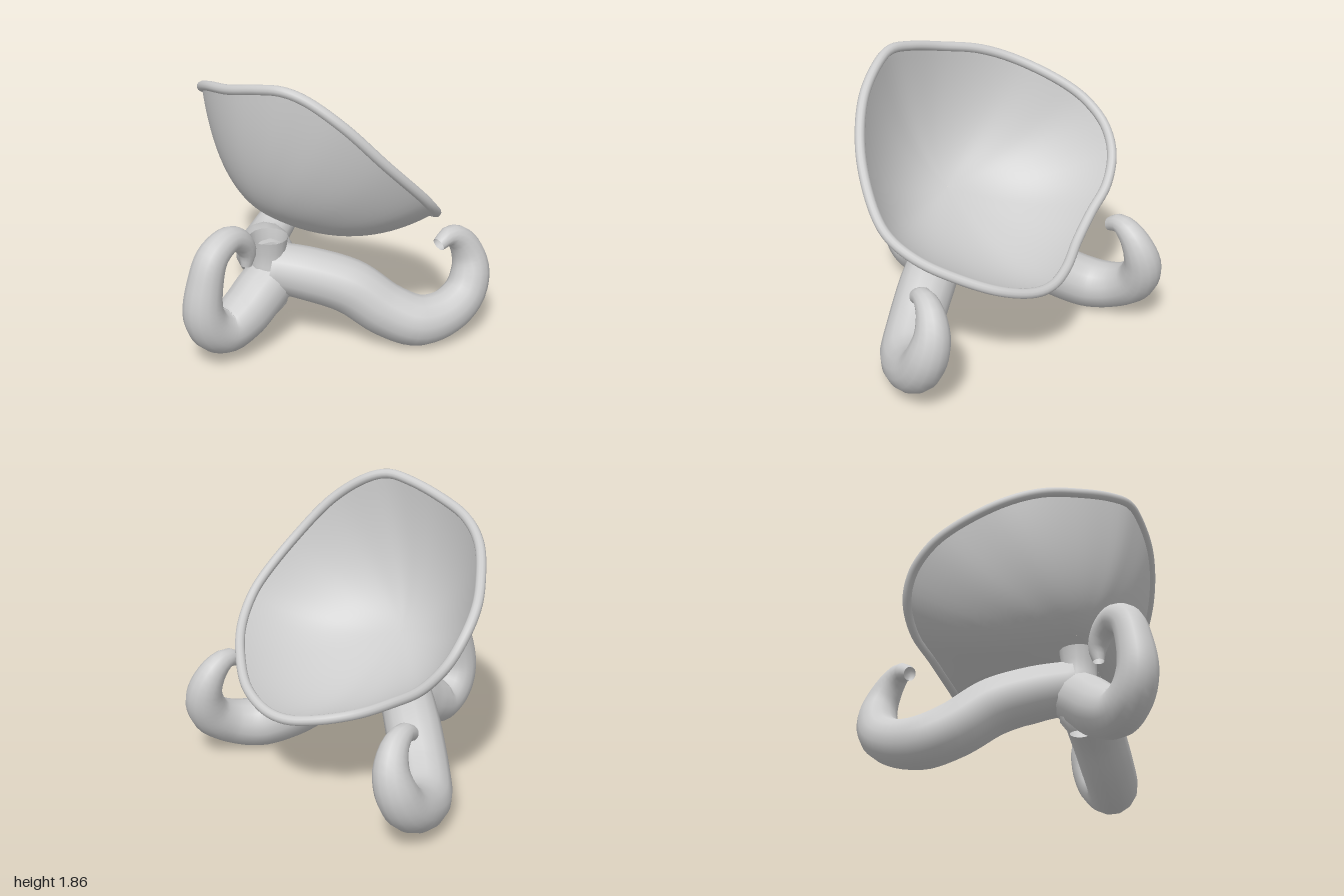
import * as THREE from 'three';

const grey = new THREE.MeshStandardMaterial({ color: 0xcccccc, side: THREE.DoubleSide });
grey.name = 'light grey';

const V = (p) => new THREE.Vector3(p[0], p[1], p[2]);

function part(name, geometry) {
  const mesh = new THREE.Mesh(geometry, grey);
  mesh.name = name;
  return mesh;
}

// Indexed grid of rows x cols points, wrapped around the columns
function wrappedGrid(points, rows, cols) {
  const index = [];
  for (let i = 0; i < rows - 1; i++) {
    for (let j = 0; j < cols; j++) {
      const a = i * cols + j, c = i * cols + (j + 1) % cols;
      index.push(a, c, a + cols, c, c + cols, a + cols);
    }
  }
  const g = new THREE.BufferGeometry().setFromPoints(points);
  g.setIndex(index);
  g.computeVertexNormals();
  return g;
}

// Open tube whose radius changes along the path; each point is [x, y, z, radius]
function taperedTube(path, steps = 48, sides = 14) {
  const curve = new THREE.CatmullRomCurve3(path.map(V), false, 'centripetal');
  const frames = curve.computeFrenetFrames(steps, false);
  const points = [];
  for (let i = 0; i <= steps; i++) {
    const t = curve.getUtoTmapping(i / steps) * (path.length - 1);
    const k = Math.min(Math.floor(t), path.length - 2);
    const r = THREE.MathUtils.lerp(path[k][3], path[k + 1][3], t - k);
    const c = curve.getPointAt(i / steps);
    for (let j = 0; j < sides; j++) {
      const a = (j / sides) * Math.PI * 2;
      points.push(c.clone()
        .addScaledVector(frames.normals[i], r * Math.cos(a))
        .addScaledVector(frames.binormals[i], r * Math.sin(a)));
    }
  }
  return wrappedGrid(points, steps + 1, sides);
}

// Wavy closed outline of the seat
const rimCurve = new THREE.CatmullRomCurve3([
  [-0.43, 1.755, -0.13], [-0.365, 1.7, -0.385], [-0.24, 1.615, -0.595],
  [-0.005, 1.48, -0.8], [0.135, 1.38, -0.885], [0.285, 1.25, -0.92],
  [0.4, 1.1, -0.89], [0.49, 0.94, -0.775], [0.55, 0.82, -0.6],
  [0.645, 0.715, -0.405], [0.79, 0.655, -0.195], [0.87, 0.63, -0.02],
  [0.89, 0.645, 0.14], [0.84, 0.71, 0.36], [0.69, 0.81, 0.585],
  [0.54, 0.905, 0.74], [0.39, 1.01, 0.83], [0.27, 1.12, 0.85],
  [0, 1.39, 0.775], [-0.21, 1.65, 0.615], [-0.335, 1.8, 0.42],
  [-0.395, 1.838, 0.29], [-0.425, 1.815, 0.12],
].map(V), true, 'centripetal');

// Bowl: curves run from the pole to the outline, leaving along one tangent plane
function shellGeometry(rings = 18, cols = 80) {
  const pole = new THREE.Vector3(-0.2, 0.87, 0);
  const normal = new THREE.Vector3(-0.6, -0.8, 0);
  const forward = new THREE.Vector3(0.8, -0.6, 0);
  const points = [];
  for (let i = 0; i <= rings; i++) {
    for (let j = 0; j < cols; j++) {
      const end = rimCurve.getPointAt(j / cols);
      const dir = end.clone().sub(pole).projectOnPlane(normal);
      const bulge = 0.57 + 0.11 * dir.clone().normalize().dot(forward);
      const control = pole.clone().addScaledVector(dir, bulge);
      const t = Math.max(i / rings, 0.002);
      points.push(new THREE.QuadraticBezierCurve3(pole, control, end).getPoint(t));
    }
  }
  return wrappedGrid(points, rings + 1, cols);
}

export function createModel() {
  const group = new THREE.Group();
  group.name = 'shell chair';

  // Seat
  group.add(part('seatShell', shellGeometry()));
  group.add(part('seatRim', new THREE.TubeGeometry(rimCurve, 140, 0.032, 12, true)));

  // Mirrored pair of long curling legs
  const longLeg = (s) => [
    [-0.2, 0.52, 0, 0.165], [-0.05, 0.48, 0.19, 0.175], [0.12, 0.4, 0.4, 0.18],
    [0.26, 0.25, 0.59, 0.175], [0.4, 0.175, 0.74, 0.17], [0.57, 0.205, 0.83, 0.15],
    [0.72, 0.3, 0.86, 0.138], [0.79, 0.43, 0.85, 0.128], [0.795, 0.55, 0.82, 0.11],
    [0.73, 0.67, 0.79, 0.085], [0.64, 0.715, 0.775, 0.065], [0.55, 0.68, 0.765, 0.045],
  ].map(([x, y, z, r]) => [x, y, z * s, r]);
  group.add(part('leftLeg', taperedTube(longLeg(1))));
  group.add(part('rightLeg', taperedTube(longLeg(-1))));

  // Short curling leg on the low side
  group.add(part('shortLeg', taperedTube([
    [-0.17, 0.47, 0, 0.17], [-0.32, 0.37, 0, 0.175], [-0.46, 0.275, 0, 0.17],
    [-0.62, 0.22, 0, 0.15], [-0.74, 0.285, 0, 0.14], [-0.8, 0.41, 0, 0.13],
    [-0.78, 0.6, 0, 0.115], [-0.71, 0.77, 0, 0.103], [-0.57, 0.84, 0, 0.085],
    [-0.47, 0.79, 0, 0.075], [-0.42, 0.7, 0, 0.06], [-0.43, 0.61, 0, 0.035],
  ])));

  // Open collar where the legs meet
  const profile = [[0.06, 0.2], [0.12, 0.28], [0.135, 0.42], [0.112, 0.58], [0.112, 0.66], [0.125, 0.745]];
  const collar = part('hubCollar', new THREE.LatheGeometry(
    profile.map(([x, y]) => new THREE.Vector2(x, y)), 16));
  collar.position.x = -0.23;
  group.add(collar);

  return group;
}
